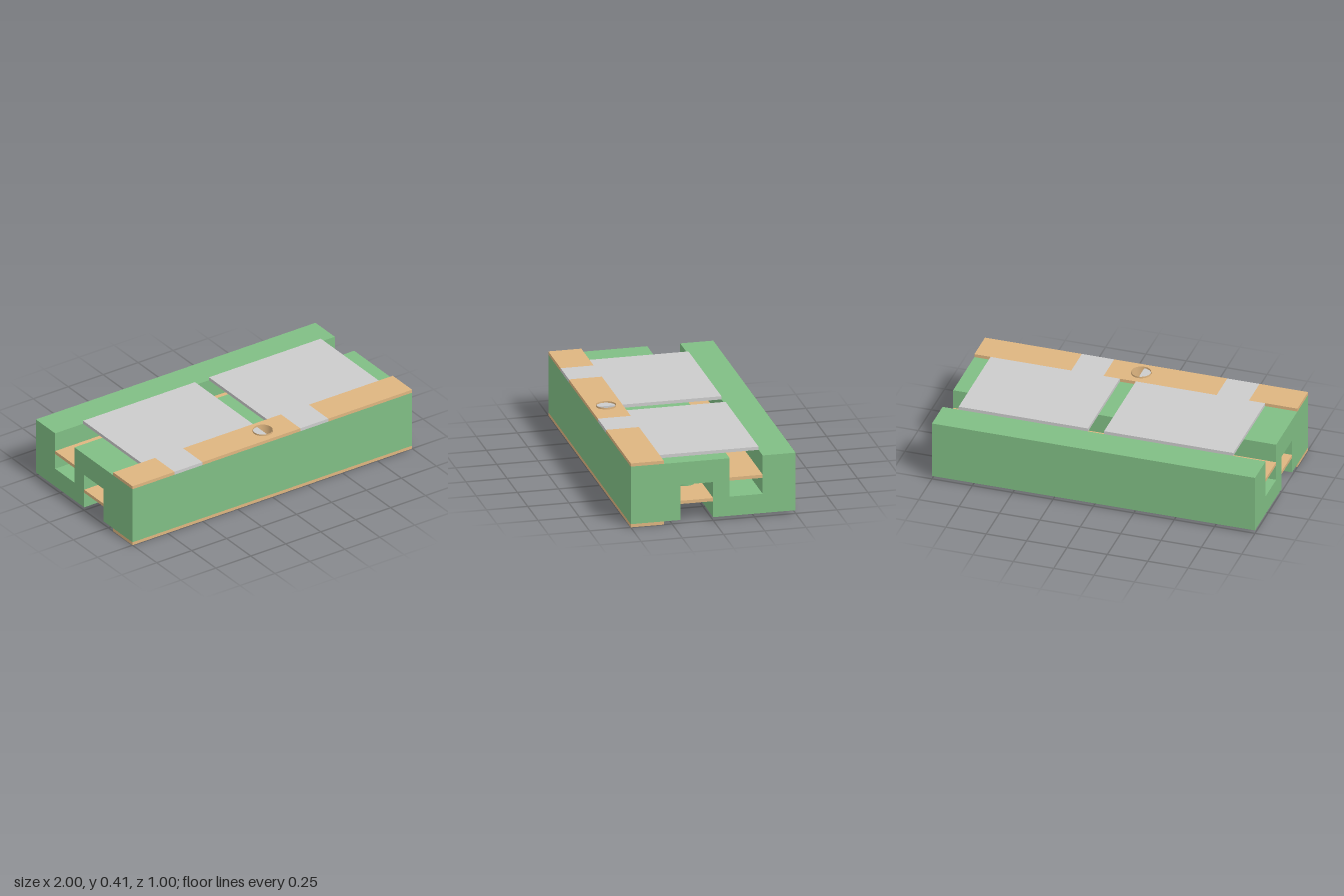
import * as THREE from 'three';

const green = new THREE.MeshStandardMaterial({ color: 0x80be84 });
const tan = new THREE.MeshStandardMaterial({ color: 0xdeb580 });
const tanOpen = new THREE.MeshStandardMaterial({ color: 0xdeb580, side: THREE.DoubleSide });
const grey = new THREE.MeshStandardMaterial({ color: 0xcccccc });

const HOLE = 0.06;
const SEG = 32;

export function createModel() {
  const model = new THREE.Group();

  const add = (name, geometry, material, x = 0, y = 0, z = 0) => {
    const mesh = new THREE.Mesh(geometry, material);
    mesh.name = name;
    mesh.position.set(x, y, z);
    model.add(mesh);
  };

  // Horizontal slab with vertical round holes at [x, z]
  const slab = (name, material, [x0, x1], [y0, y1], [z0, z1], holes = []) => {
    const shape = new THREE.Shape([[x0, -z1], [x1, -z1], [x1, -z0], [x0, -z0]]
      .map(([a, b]) => new THREE.Vector2(a, b)));
    for (const [x, z] of holes) {
      shape.holes.push(new THREE.Path().absarc(x, -z, HOLE, 0, Math.PI * 2, true));
    }
    const geometry = new THREE.ExtrudeGeometry(shape,
      { depth: y1 - y0, bevelEnabled: false, curveSegments: SEG });
    geometry.rotateX(-Math.PI / 2);
    add(name, geometry, material, 0, y0, 0);
  };

  // Open round wall, or solid rod, between two heights
  const tube = (name, material, r, x, z, y0, y1, open = true) =>
    add(name, new THREE.CylinderGeometry(r, r, y1 - y0, SEG, 1, open), material, x, (y0 + y1) / 2, z);

  const full = [-1, 1];
  const cells = [-0.4, 0.5];
  const frontHoles = [[0, 0.4], ...cells.map(c => [c - 0.2, 0.4])];
  const grooveHoles = cells.map(c => [c + 0.2, 0.1]);

  // Body: front block, groove ceiling and back block with its upper channel
  slab('frontBlock', green, full, [0.02, 0.38], [0.2, 0.5], frontHoles);
  slab('grooveCeiling', green, full, [0.24, 0.38], [0, 0.2], grooveHoles);
  const profile = new THREE.Shape([
    [0, 0.02], [0.5, 0.02], [0.5, 0.38], [0.3, 0.38],
    [0.3, 0.14], [0.1, 0.14], [0.1, 0.38], [0, 0.38],
  ].map(([a, b]) => new THREE.Vector2(a, b)));
  const back = new THREE.ExtrudeGeometry(profile, { depth: 2, bevelEnabled: false });
  back.rotateY(Math.PI / 2);
  add('backBlock', back, green, -1, 0, 0);

  // Long conductor strips
  slab('bottomStrip', tan, full, [0, 0.02], [0.3, 0.5], frontHoles);
  slab('grooveStrip', tan, full, [0.12, 0.14], [0, 0.2], grooveHoles);
  slab('channelStrip', tan, full, [0.24, 0.26], [-0.3, -0.1]);

  // Top strip, interrupted where the plates reach the front edge
  slab('topStripRight', tan, [-1, -0.7], [0.38, 0.4], [0.3, 0.5]);
  slab('topStripMiddle', tan, [-0.5, 0.2], [0.38, 0.4], [0.3, 0.5], [[0, 0.4]]);
  slab('topStripLeft', tan, [0.4, 1], [0.38, 0.4], [0.3, 0.5]);

  for (const c of cells) {
    // Plate with a front tab
    slab('plate', grey, [c - 0.4, c + 0.4], [0.38, 0.4], [-0.3, 0.3]);
    slab('plateTab', grey, [c - 0.3, c - 0.1], [0.38, 0.4], [0.3, 0.5]);

    // Lined holes and posts of each cell
    tube('frontHoleLining', tanOpen, HOLE - 0.001, c - 0.2, 0.4, 0, 0.38);
    tube('groovePost', green, HOLE, c + 0.2, 0.1, 0.14, 0.24);
    tube('grooveHoleLining', tanOpen, HOLE - 0.002, c + 0.2, 0.1, 0.12, 0.38);
    tube('channelPost', green, 0.03, c, -0.2, 0.26, 0.38, false);
  }

  // Through hole lining that stands proud of the top, half covered by a plate
  tube('throughHoleLining', tanOpen, HOLE - 0.001, 0, 0.4, 0, 0.41);
  const half = new THREE.Shape().absarc(0, 0, HOLE - 0.002, Math.PI / 2, Math.PI * 1.5, false);
  const cover = new THREE.ExtrudeGeometry(half, { depth: 0.02, bevelEnabled: false, curveSegments: SEG });
  cover.rotateX(-Math.PI / 2);
  add('throughHoleCover', cover, grey, 0, 0.38, 0.4);

  return model;
}
